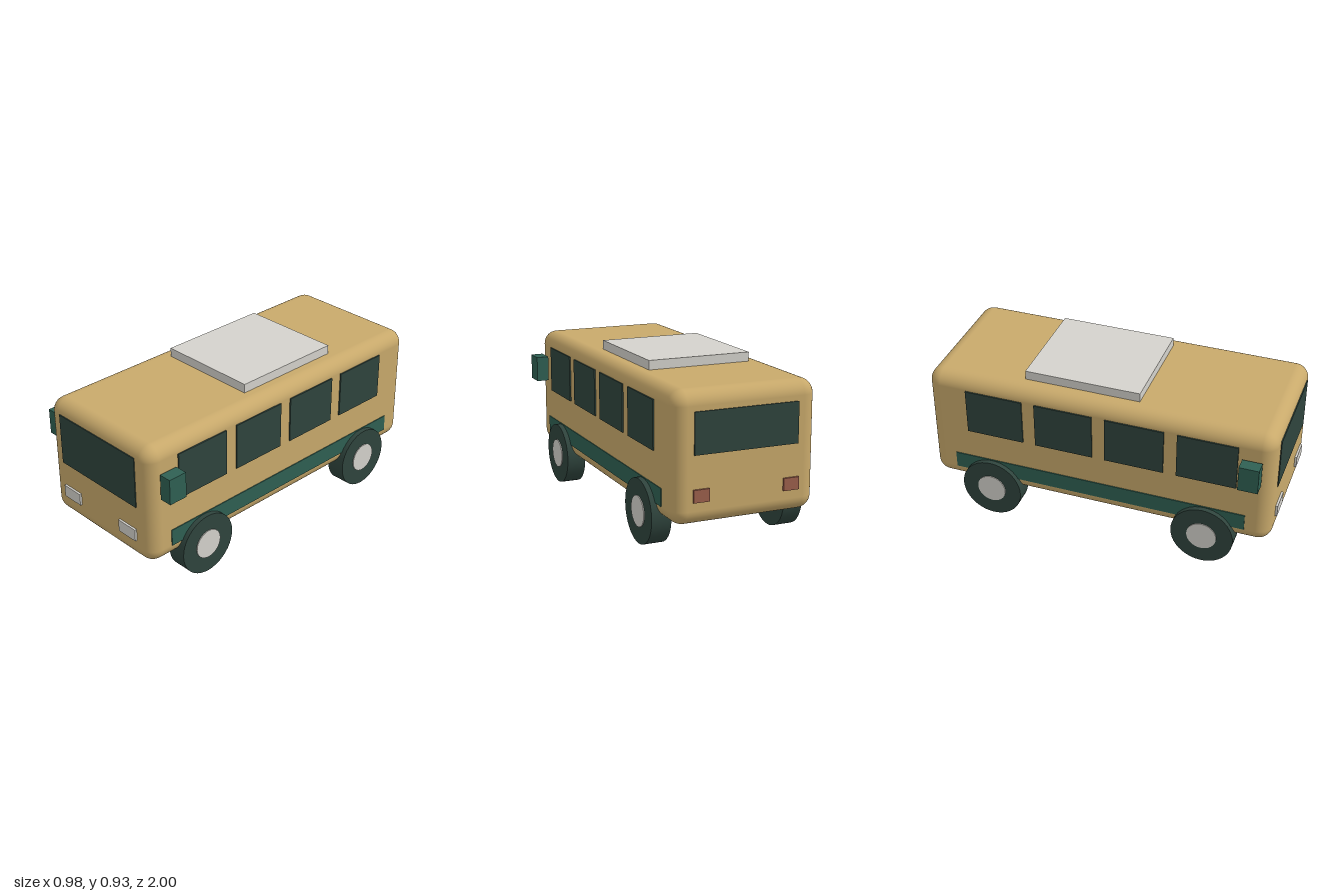
import * as THREE from 'three';
import { RoundedBoxGeometry } from 'three/addons/geometries/RoundedBoxGeometry.js';

function material(name, color) {
  const m = new THREE.MeshStandardMaterial({ color });
  m.name = name;
  return m;
}

export function createModel() {
  const tan = material('tan paint', 0xc8a96b);
  const green = material('green trim', 0x2f6053);
  const dark = material('dark glass and rubber', 0x2f443d);
  const pale = material('pale grey', 0xd4d2cc);
  const red = material('tail light red', 0x9c5f4c);

  const bus = new THREE.Group();
  bus.name = 'bus';

  function add(name, geometry, mat, x, y, z) {
    const mesh = new THREE.Mesh(geometry, mat);
    mesh.name = name;
    mesh.position.set(x, y, z);
    bus.add(mesh);
    return mesh;
  }

  // Box given by its limits on each axis
  function box(name, mat, x0, x1, y0, y1, z0, z1) {
    const geometry = new THREE.BoxGeometry(x1 - x0, y1 - y0, z1 - z0);
    return add(name, geometry, mat, (x0 + x1) / 2, (y0 + y1) / 2, (z0 + z1) / 2);
  }

  // Same box on the left (+x) and right (-x) sides
  function pair(name, mat, x0, x1, y0, y1, z0, z1) {
    box(name + 'Left', mat, x0, x1, y0, y1, z0, z1);
    box(name + 'Right', mat, -x1, -x0, y0, y1, z0, z1);
  }

  // Body shell and roof unit
  add('body', new RoundedBoxGeometry(0.808, 0.693, 1.976, 6, 0.078), tan, 0, 0.5285, 0);
  box('roofUnit', pale, -0.294, 0.294, 0.865, 0.926, -0.44, 0.215);

  // Front and rear glass
  box('windshield', dark, -0.302, 0.302, 0.513, 0.807, 0.984, 0.993);
  box('rearWindow', dark, -0.292, 0.292, 0.55, 0.77, -0.995, -0.986);

  // Lights
  pair('headlight', pale, 0.162, 0.294, 0.305, 0.374, 0.98, 1);
  pair('tailLight', red, 0.21, 0.298, 0.307, 0.374, -1, -0.98);

  // Side windows, stripes and mirrors
  for (let i = 0; i < 4; i++) {
    const z = 0.625 - i * 0.405;
    pair('sideWindow' + (i + 1), dark, 0.403, 0.412, 0.53, 0.794, z - 0.166, z + 0.166);
  }
  pair('sideStripe', green, 0.4, 0.409, 0.26, 0.356, -0.845, 0.848);
  pair('mirror', green, 0.42, 0.491, 0.589, 0.735, 0.815, 0.924);

  // Wheels with hubcaps
  const tire = new THREE.CylinderGeometry(0.176, 0.176, 0.11, 40).rotateZ(Math.PI / 2);
  const hub = new THREE.CylinderGeometry(0.084, 0.084, 0.114, 32).rotateZ(Math.PI / 2);
  for (const [end, z] of [['front', 0.622], ['rear', -0.622]]) {
    for (const [side, s] of [['Left', 1], ['Right', -1]]) {
      add(end + 'Tire' + side, tire, dark, s * 0.382, 0.176, z);
      add(end + 'Hubcap' + side, hub, pale, s * 0.385, 0.176, z);
    }
  }

  return bus;
}
